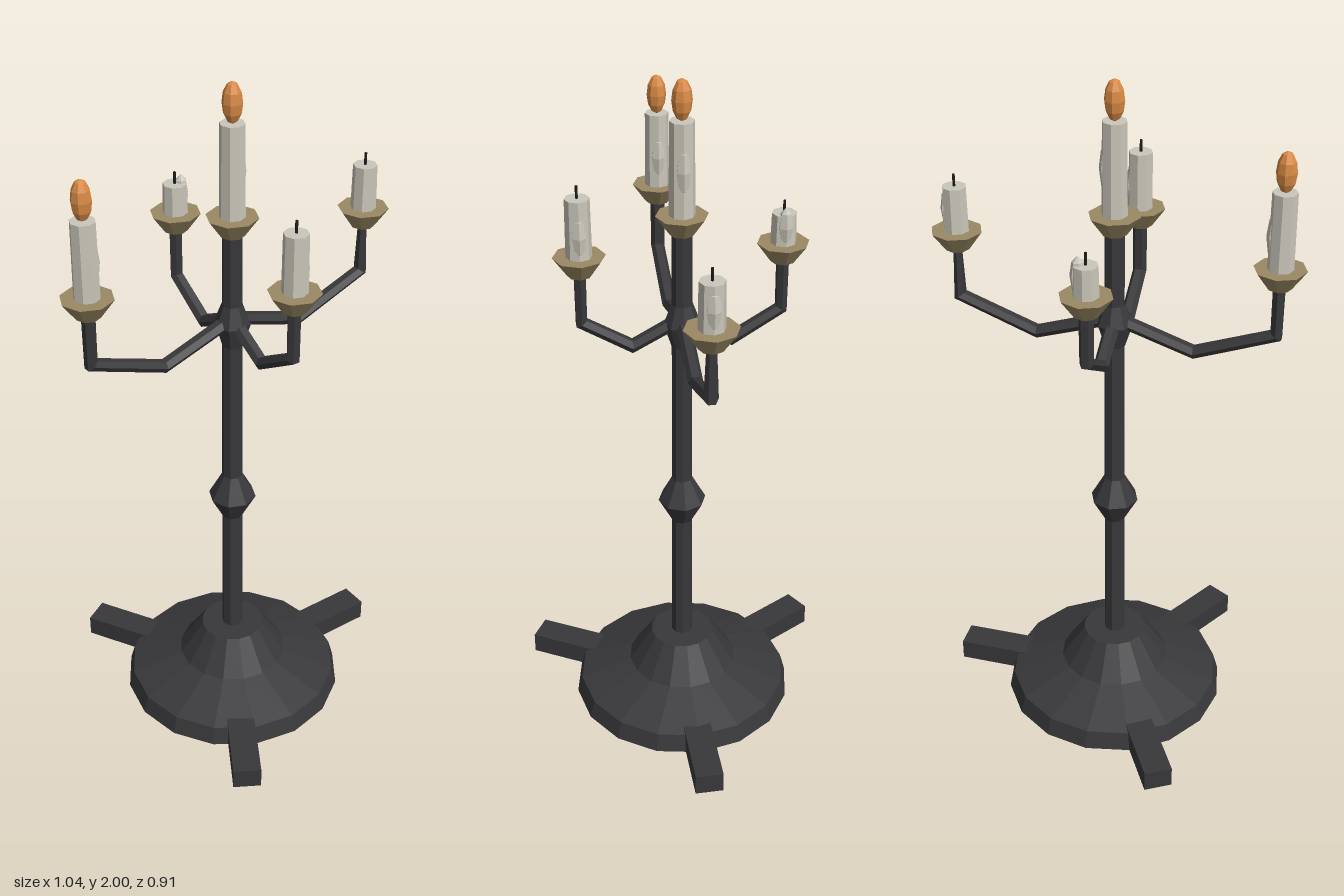
import * as THREE from 'three';

const mat = (color) => new THREE.MeshStandardMaterial({ color, flatShading: true, side: THREE.DoubleSide });

// Sweep a flattened hexagon along a bent path lying in the XY plane
function sweepArm(points, scales) {
  const N = 6, pos = [], idx = [];
  points.forEach((p, i) => {
    const before = points[Math.max(i - 1, 0)], after = points[Math.min(i + 1, points.length - 1)];
    const a = i > 0 ? p.clone().sub(before).normalize() : after.clone().sub(p).normalize();
    const b = i < points.length - 1 ? after.clone().sub(p).normalize() : a;
    const t = a.clone().add(b).normalize();
    const miter = 1 / t.dot(a);
    for (let k = 0; k < N; k++) {
      const ang = (k / N) * Math.PI * 2;
      const u = Math.sin(ang) * 0.019 * scales[i] * miter;
      const w = Math.cos(ang) * 0.022 * scales[i];
      pos.push(p.x - t.y * u, p.y + t.x * u, w);
    }
  });
  for (let i = 0; i < points.length - 1; i++) {
    for (let k = 0; k < N; k++) {
      const a = i * N + k, b = i * N + (k + 1) % N;
      idx.push(a, a + N, b, b, a + N, b + N);
    }
  }
  const g = new THREE.BufferGeometry();
  g.setAttribute('position', new THREE.Float32BufferAttribute(pos, 3));
  g.setIndex(idx);
  g.computeVertexNormals();
  return g;
}

export function createModel() {
  const model = new THREE.Group();
  model.name = 'candelabra';
  const iron = mat(0x38383b), brass = mat(0x9a8963), wax = mat(0xcac6ba), fire = mat(0xd98a45), char = mat(0x1c1c1c);

  const add = (parent, name, geometry, material, x = 0, y = 0, z = 0) => {
    const m = new THREE.Mesh(geometry, material);
    m.name = name;
    m.position.set(x, y, z);
    parent.add(m);
    return m;
  };
  const lathe = (profile, sides) =>
    new THREE.LatheGeometry(profile.map(([r, y]) => new THREE.Vector2(r, y)), sides);

  // Stepped base
  add(model, 'base', lathe([[0, 0], [0.335, 0], [0.32, 0.055], [0.165, 0.11], [0.095, 0.215], [0, 0.215]], 16), iron);

  // Three radial feet
  for (let i = 0; i < 3; i++) {
    const foot = new THREE.Group();
    foot.name = 'foot';
    foot.rotation.y = (i * Math.PI * 2) / 3;
    add(foot, 'footBar', new THREE.BoxGeometry(0.25, 0.065, 0.083), iron, 0.375, 0.0325, 0);
    model.add(foot);
  }

  // Stem with its knob and the hub where the arms meet
  add(model, 'stem', new THREE.CylinderGeometry(0.028, 0.032, 1.38, 8), iron, 0, 0.89, 0);
  add(model, 'knob', lathe([[0.03, 0.635], [0.07, 0.71], [0.03, 0.785]], 8), iron);
  add(model, 'hub', lathe([[0.03, 1.23], [0.052, 1.3], [0.03, 1.36]], 8), iron);

  // Drip pan, candle, wax drip, wick and optional flame
  function addCandle(name, x, y, z, height, lit, dripY, dripHalf) {
    const g = new THREE.Group();
    g.name = name;
    g.position.set(x, y, z);
    add(g, 'dripPan', new THREE.CylinderGeometry(0.0725, 0.034, 0.055, 8), brass, 0, 0.0275, 0);
    add(g, 'candle', new THREE.CylinderGeometry(0.034, 0.036, height, 8), wax, 0, 0.05 + height / 2, 0);
    const drip = add(g, 'waxDrip', new THREE.SphereGeometry(1, 6, 4), wax, 0.021, dripY, 0);
    drip.scale.set(0.022, dripHalf, 0.021);
    const top = 0.05 + height;
    add(g, 'wick', new THREE.CylinderGeometry(0.004, 0.004, 0.05, 5), char, 0, top + 0.01, 0);
    if (lit) {
      const flame = add(g, 'flame', new THREE.SphereGeometry(1, 8, 6), fire, 0, top + 0.055, 0);
      flame.scale.set(0.028, 0.057, 0.028);
    }
    model.add(g);
  }

  addCandle('centreCandle', 0, 1.57, 0, 0.268, true, 0.185, 0.072);

  // Four arms: direction angle, reach, tip taper, candle height, lit, drip centre, drip half height
  const arms = [
    ['left', 0, 0.45, 0.6, 0.135, false, 0.115, 0.062],
    ['back', Math.PI / 2, 0.278, 0.95, 0.092, false, 0.108, 0.057],
    ['right', Math.PI, 0.45, 0.95, 0.222, true, 0.145, 0.068],
    ['front', -Math.PI / 2, 0.278, 0.95, 0.172, false, 0.12, 0.065],
  ];
  for (const [side, angle, reach, taper, height, lit, dripY, dripHalf] of arms) {
    const path = [[0, 1.315], [reach / 2, 1.24], [reach, 1.325], [reach, 1.48]].map(([x, y]) => new THREE.Vector2(x, y));
    const arm = add(model, side + 'Arm', sweepArm(path, [1, 0.95, 0.9, taper]), iron);
    arm.rotation.y = angle;
    addCandle(side + 'Candle', Math.cos(angle) * reach, 1.47, -Math.sin(angle) * reach, height, lit, dripY, dripHalf);
  }
  return model;
}
